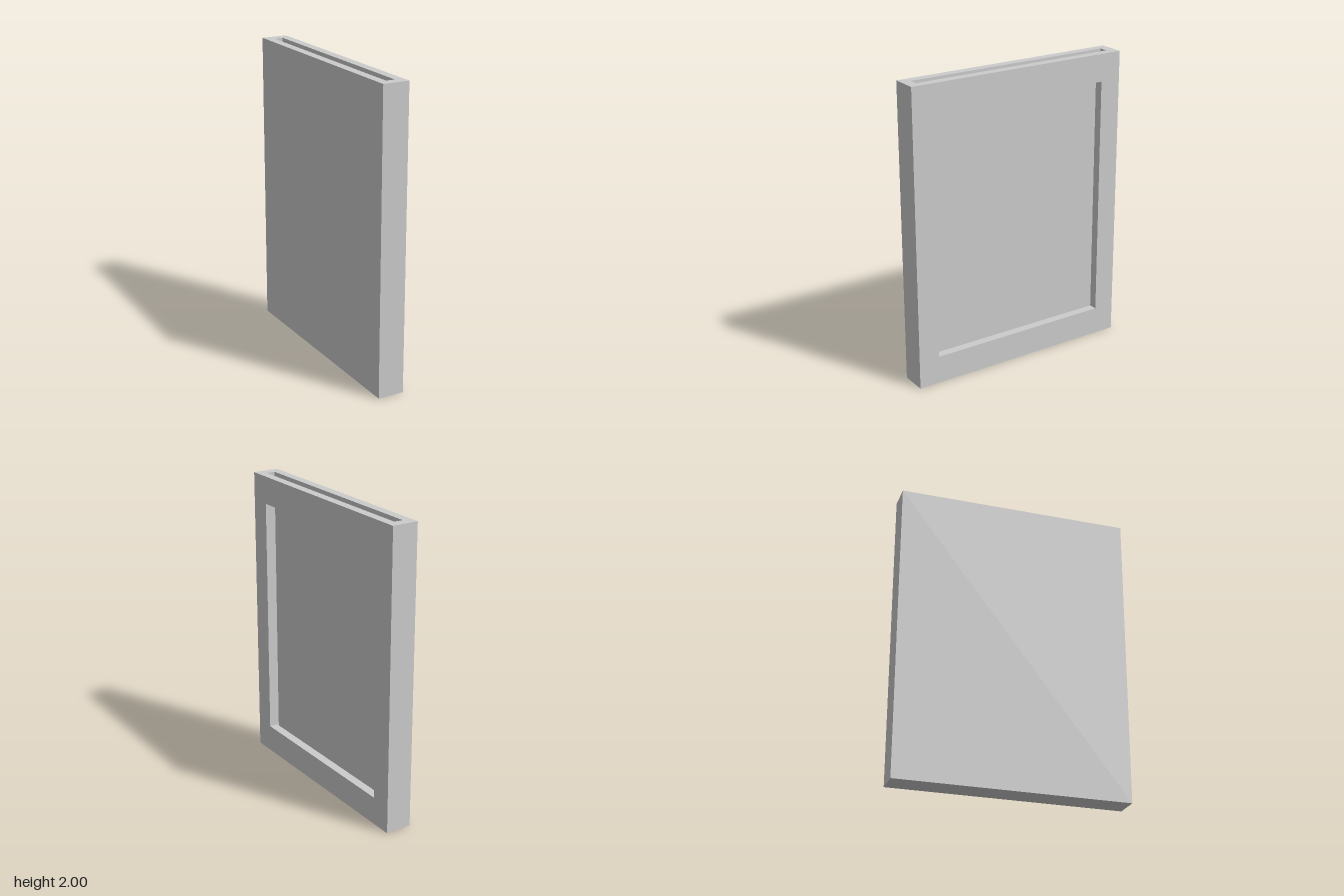
import * as THREE from 'three';

const H = 2, HALF_W = 0.778, X = [-0.0885, -0.03, 0.03, 0.0885];

// Rectangle as points: half width, bottom, top
const rect = (w, y0, y1) => [[-w, y0], [w, y0], [w, y1], [-w, y1]].map(([x, y]) => new THREE.Vector2(x, y));

export function createModel() {
  const group = new THREE.Group();
  group.name = 'slottedFrame';
  const material = new THREE.MeshStandardMaterial({ color: 0xcccccc, flatShading: true });

  // Extrudes an upright outline across x, from x0 to x1
  function addLayer(name, shape, x0, x1) {
    const geometry = new THREE.ExtrudeGeometry(shape, { depth: x1 - x0, bevelEnabled: false });
    geometry.translate(0, 0, x0).rotateY(Math.PI / 2);
    const mesh = new THREE.Mesh(geometry, material);
    mesh.name = name;
    group.add(mesh);
  }

  // Solid back panel
  addLayer('backPanel', new THREE.Shape(rect(HALF_W, 0, H)), X[0], X[1]);

  // U-shaped spacer: leaves the slot open at the top
  const s = 0.712, floor = 0.09;
  const spacer = new THREE.Shape([
    [-HALF_W, 0], [HALF_W, 0], [HALF_W, H], [s, H], [s, floor], [-s, floor], [-s, H], [-HALF_W, H],
  ].map(([x, y]) => new THREE.Vector2(x, y)));
  addLayer('slotSpacer', spacer, X[1], X[2]);

  // Window surround, open through to the slot
  const surround = new THREE.Shape(rect(HALF_W, 0, H));
  surround.holes.push(new THREE.Path(rect(0.634, 0.187, 1.815).reverse()));
  addLayer('windowSurround', surround, X[2], X[3]);

  return group;
}
